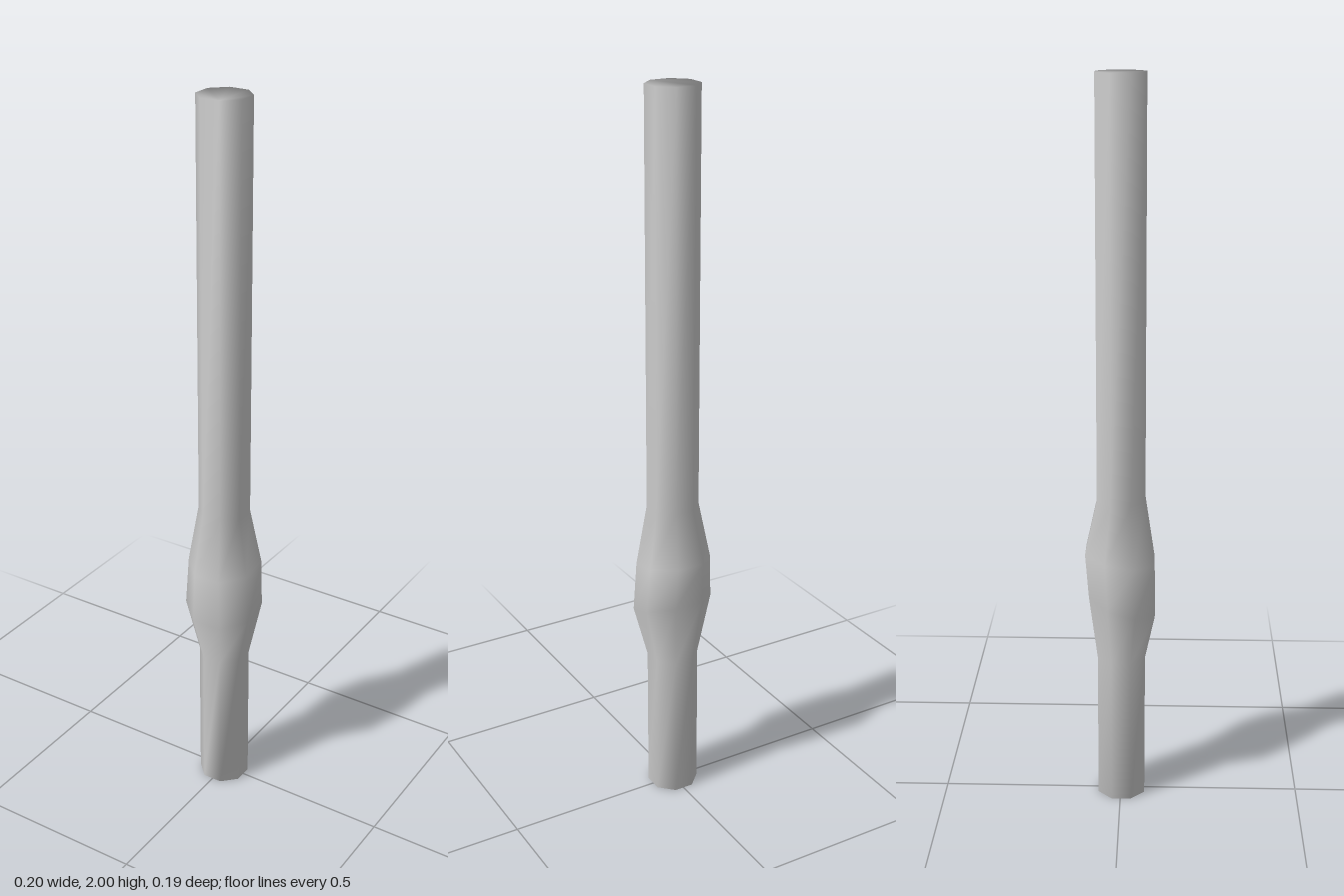
import * as THREE from 'three';

const SIDES = 8;

// Rings from bottom to top: height, half width, half depth, z centre, tilt (rise from front to back)
const RINGS = [
  [0, 0.0655, 0.065, 0.002, 0],
  [0.42, 0.0655, 0.065, 0.002, 0],
  [0.58, 0.102, 0.09, 0.004, 0.055],
  [0.715, 0.094, 0.094, -0.002, 0.03],
  [0.88, 0.0655, 0.065, 0.001, 0],
  [2, 0.0655, 0.065, 0, 0],
];

// Octagonal loops skinned with shared vertices for smooth normals
function loft(rings) {
  const pos = [], index = [];
  const corner = 1 / Math.cos(Math.PI / SIDES);
  for (const [y, w, d, cz, tilt] of rings) {
    for (let i = 0; i < SIDES; i++) {
      const a = ((i + 0.5) / SIDES) * Math.PI * 2;
      const s = Math.sin(a) * corner, c = Math.cos(a) * corner;
      pos.push(s * w - 0.001, y - (c * tilt) / 2, c * d + cz);
    }
  }
  for (let r = 0; r < rings.length - 1; r++) {
    for (let i = 0; i < SIDES; i++) {
      const a = r * SIDES + i, b = r * SIDES + ((i + 1) % SIDES);
      index.push(a, b, b + SIDES, a, b + SIDES, a + SIDES);
    }
  }
  // End caps
  const top = (rings.length - 1) * SIDES;
  for (let i = 1; i < SIDES - 1; i++) {
    index.push(0, i + 1, i, top, top + i, top + i + 1);
  }
  const geo = new THREE.BufferGeometry();
  geo.setAttribute('position', new THREE.Float32BufferAttribute(pos, 3));
  geo.setIndex(index);
  geo.computeVertexNormals();
  return geo;
}

export function createModel() {
  const group = new THREE.Group();
  group.name = 'pole';
  // Straight shaft with a swollen grip
  const shaft = new THREE.Mesh(loft(RINGS), new THREE.MeshStandardMaterial({ color: 0xcccccc }));
  shaft.name = 'shaft';
  group.add(shaft);
  return group;
}
